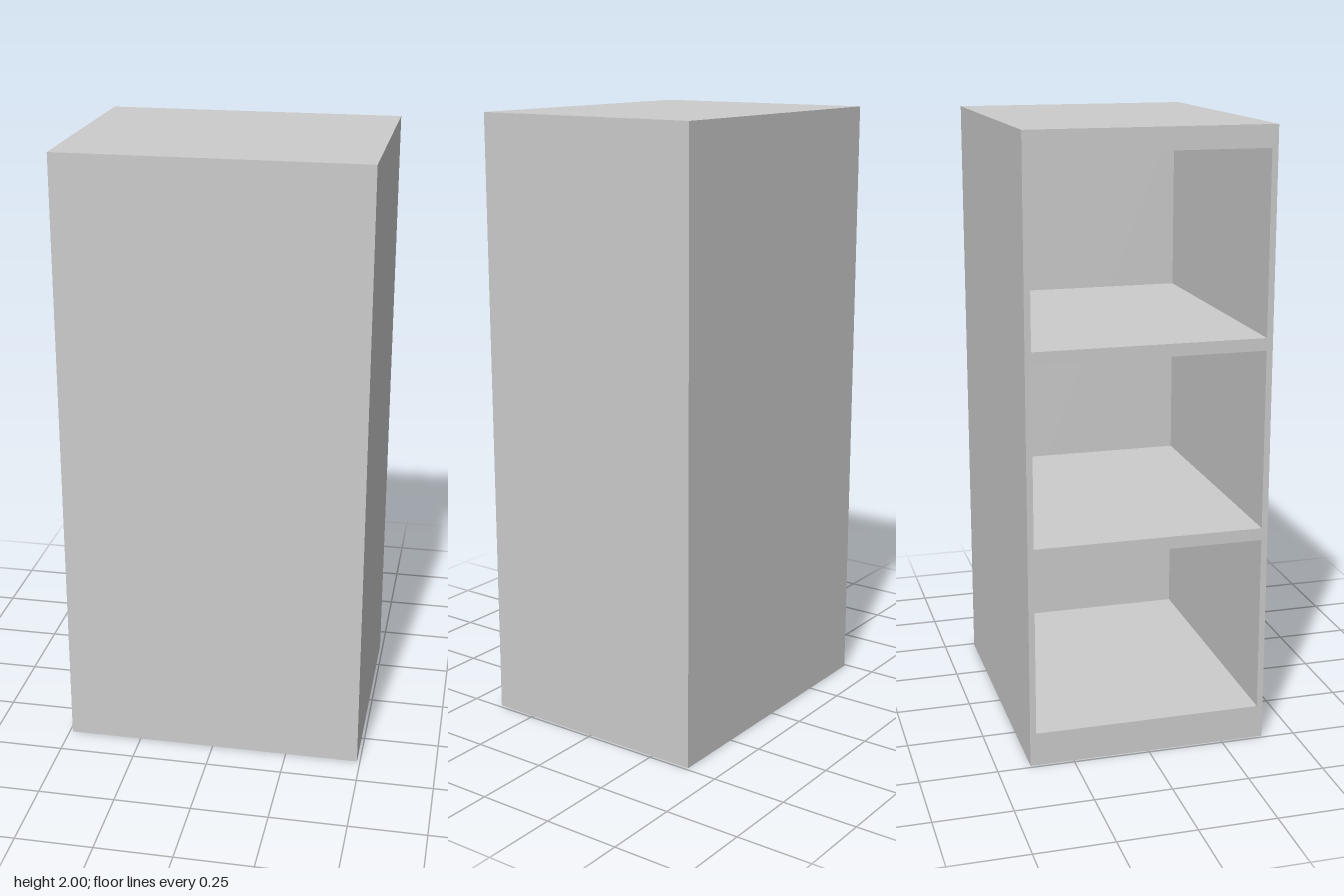
import * as THREE from 'three';

const W = 0.98, H = 2, D = 0.784; // overall width (x), height, depth (z)
const WALL = 0.02;                // side wall and end panel thickness
const BASE = 0.11, SHELF = 0.04, BAY = 0.58;

export function createModel() {
  const group = new THREE.Group();
  group.name = 'shelfCabinet';
  const material = new THREE.MeshStandardMaterial({ color: 0xcccccc });

  const rect = (path, x0, y0, x1, y1) => {
    path.moveTo(x0, y0);
    path.lineTo(x1, y0);
    path.lineTo(x1, y1);
    path.lineTo(x0, y1);
    path.closePath();
    return path;
  };

  // Carcass: walls, base, top and shelves around three stacked bays, run along x
  const frame = rect(new THREE.Shape(), -D / 2, 0, D / 2, H);
  for (let i = 0; i < 3; i++) {
    const y = BASE + i * (BAY + SHELF);
    frame.holes.push(rect(new THREE.Path(), -D / 2 + WALL, y, D / 2 - WALL, y + BAY));
  }
  const frameGeometry = new THREE.ExtrudeGeometry(frame, { depth: W - WALL, bevelEnabled: false });
  frameGeometry.rotateY(Math.PI / 2).translate(-W / 2, 0, 0);
  const carcass = new THREE.Mesh(frameGeometry, material);
  carcass.name = 'carcassWithShelves';

  // Panel closing the far end of the bays
  const panel = new THREE.Mesh(new THREE.BoxGeometry(WALL, H, D), material);
  panel.name = 'endPanel';
  panel.position.set(W / 2 - WALL / 2, H / 2, 0);

  group.add(carcass, panel);
  return group;
}
